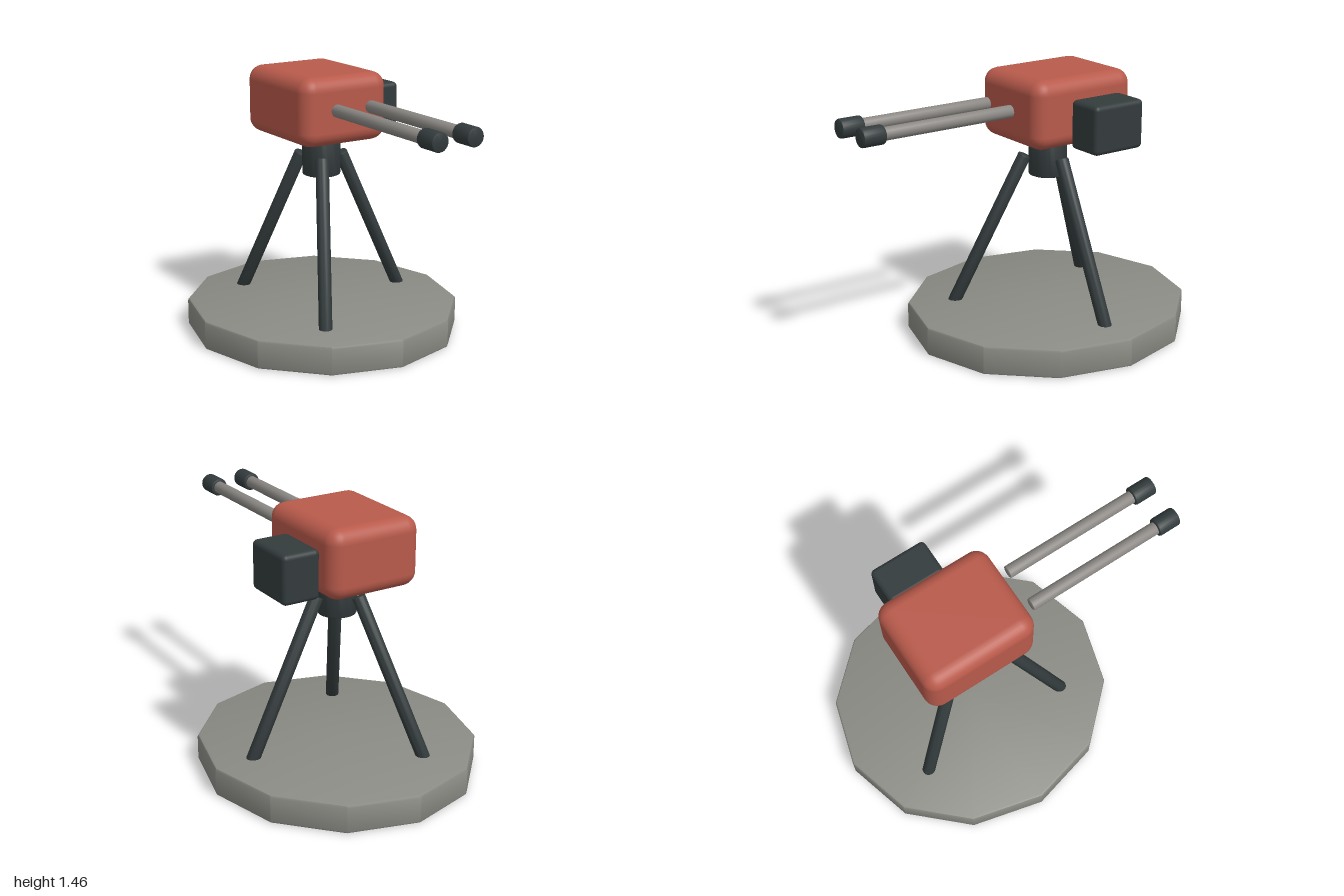
import * as THREE from 'three';
import { toCreasedNormals } from 'three/addons/utils/BufferGeometryUtils.js';
import { RoundedBoxGeometry } from 'three/addons/geometries/RoundedBoxGeometry.js';

const AXIS_Z = -0.21; // pedestal axis

export function createModel() {
  const group = new THREE.Group();
  const material = (name, color) => {
    const m = new THREE.MeshStandardMaterial({ color });
    m.name = name;
    return m;
  };
  const red = material('housingRed', 0xb85a4b);
  const dark = material('darkSteel', 0x333b3c);
  const stone = material('baseGrey', 0x8b8b85);
  const steel = material('barrelGrey', 0x8b8884);

  const add = (name, geometry, mat, x, y, z) => {
    const mesh = new THREE.Mesh(geometry, mat);
    mesh.name = name;
    mesh.position.set(x, y, z);
    group.add(mesh);
    return mesh;
  };

  // Cylinder along y, centred, with small bevelled rims
  const bevelled = (r, h, b, sides, crease) => {
    const profile = [
      [0, -h / 2], [r - b, -h / 2], [r - b * 0.3, -h / 2 + b * 0.3], [r, -h / 2 + b],
      [r, h / 2 - b], [r - b * 0.3, h / 2 - b * 0.3], [r - b, h / 2], [0, h / 2],
    ].map(([x, y]) => new THREE.Vector2(x, y));
    return toCreasedNormals(new THREE.LatheGeometry(profile, sides), crease);
  };

  // Twelve-sided base, slightly deeper than wide
  const base = add('base', bevelled(0.74, 0.16, 0.014, 12, 0.45), stone, 0, 0.08, AXIS_Z);
  base.scale.z = 0.79 / 0.74;

  // Tripod legs
  for (let i = 0; i < 3; i++) {
    const a = (i * Math.PI * 2) / 3;
    const at = (r, y) => new THREE.Vector3(Math.cos(a) * r, y, AXIS_Z + Math.sin(a) * r);
    const top = at(0.125, 0.985), foot = at(0.527, 0.13);
    const dir = top.clone().sub(foot);
    const mid = top.clone().add(foot).multiplyScalar(0.5);
    const leg = add('leg' + (i + 1), bevelled(0.036, dir.length(), 0.006, 20, 0.7), dark, mid.x, mid.y, mid.z);
    leg.quaternion.setFromUnitVectors(new THREE.Vector3(0, 1, 0), dir.normalize());
  }

  // Swivel post, housing and side box
  add('swivelPost', bevelled(0.105, 0.265, 0.012, 28, 0.7), dark, 0, 1.0075, AXIS_Z);
  add('housing', new RoundedBoxGeometry(0.53, 0.37, 0.635, 4, 0.077), red, 0, 1.27, -0.2625);
  add('sideBox', new RoundedBoxGeometry(0.21, 0.262, 0.318, 3, 0.026), dark, 0.37, 1.216, -0.316);

  // Twin barrels with muzzles
  for (const [side, s] of [['left', 1], ['right', -1]]) {
    const barrel = add(side + 'Barrel', bevelled(0.034, 0.79, 0.005, 20, 0.7), steel, s * 0.105, 1.292, 0.505);
    const muzzle = add(side + 'Muzzle', bevelled(0.05, 0.126, 0.008, 24, 0.7), dark, s * 0.105, 1.292, 0.937);
    barrel.rotation.x = muzzle.rotation.x = Math.PI / 2;
  }
  return group;
}
